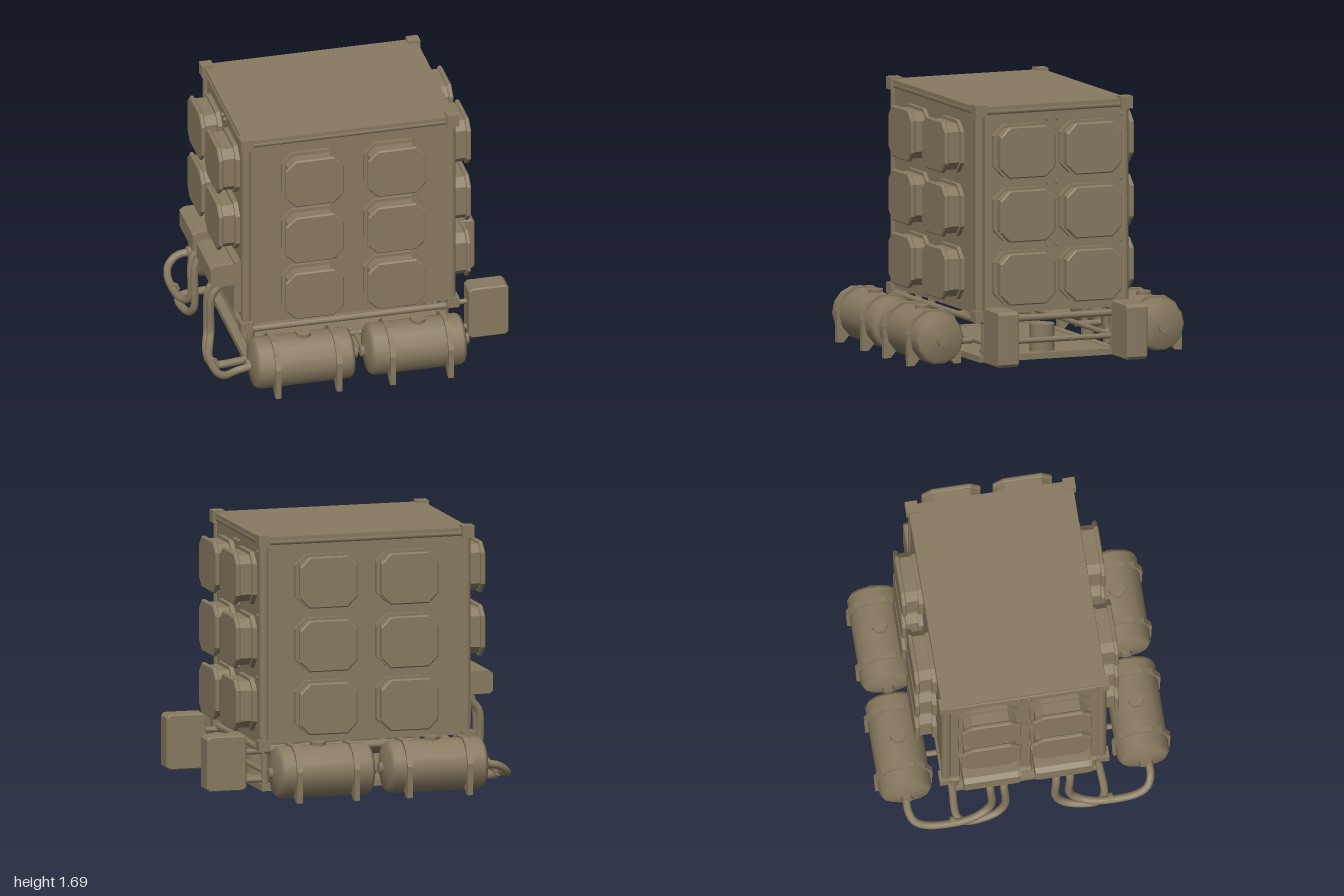
import * as THREE from 'three';

const steel = new THREE.MeshStandardMaterial({ color: 0x887a60 });
steel.name = 'olive steel';

export function createModel() {
  const root = new THREE.Group();
  root.name = 'storageModule';

  const add = (parent, name, geo, x = 0, y = 0, z = 0) => {
    const m = new THREE.Mesh(geo, steel);
    m.name = name;
    m.position.set(x, y, z);
    parent.add(m);
    return m;
  };
  const box = (name, x0, x1, y0, y1, z0, z1, parent = root) =>
    add(parent, name, new THREE.BoxGeometry(x1 - x0, y1 - y0, z1 - z0),
      (x0 + x1) / 2, (y0 + y1) / 2, (z0 + z1) / 2);
  // straight rod between two points
  const rod = (name, a, b, r, sides = 8, parent = root) => {
    const p = new THREE.Vector3(...a), d = new THREE.Vector3(...b).sub(p);
    const m = add(parent, name, new THREE.CylinderGeometry(r, r, d.length(), sides));
    m.position.copy(p).addScaledVector(d, 0.5);
    m.quaternion.setFromUnitVectors(new THREE.Vector3(0, 1, 0), d.normalize());
    return m;
  };
  // slab with chamfered corners, growing along +z
  const slab = (w, h, c, depth, bevel = 0) => {
    const x = w / 2 - bevel, y = h / 2 - bevel;
    const s = new THREE.Shape([[-x + c, -y], [x - c, -y], [x, -y + c], [x, y - c],
      [x - c, y], [-x + c, y], [-x, y - c], [-x, -y + c]].map(p => new THREE.Vector2(...p)));
    return new THREE.ExtrudeGeometry(s, { depth: depth - bevel, bevelEnabled: bevel > 0,
      bevelSize: bevel, bevelThickness: bevel, bevelSegments: 1 });
  };

  // main body and roof
  box('bodyShell', -0.755, 0.635, 0.33, 1.65, -0.54, 0.51);
  box('roof', -0.765, 0.645, 1.655, 1.68, -0.55, 0.52);

  // corner posts, corner caps and edge rails
  const xs = [-0.74, 0.615], zs = [-0.52, 0.49];
  for (const x of xs) for (const z of zs) {
    rod('cornerPost', [x, 0.3, z], [x, 1.66, z], 0.034, 10);
    for (const y of [0.32, 1.655]) {
      add(root, 'cornerCap', new THREE.BoxGeometry(0.08, y > 1 ? 0.08 : 0.07, 0.08),
        x + Math.sign(x) * 0.008, y, z + Math.sign(z) * 0.008);
    }
  }
  for (const y of [0.29, 1.645]) {
    for (const z of zs) rod('edgeRail', [xs[0], y, z + Math.sign(z) * 0.012], [xs[1], y, z + Math.sign(z) * 0.012], 0.022);
    for (const x of xs) rod('edgeRail', [x + Math.sign(x) * 0.012, y, zs[0]], [x + Math.sign(x) * 0.012, y, zs[1]], 0.022);
  }

  // storage hatches on all four walls
  const flange = slab(0.39, 0.34, 0.07, 0.03);
  const neck = slab(0.34, 0.3, 0.05, 0.12);
  const cover = slab(0.385, 0.335, 0.06, 0.022, 0.008);
  const hatch = (x, y, z, turn) => {
    const g = new THREE.Group();
    g.name = 'hatch';
    add(g, 'hatchFlange', flange);
    add(g, 'hatchNeck', neck);
    add(g, 'hatchCover', cover, 0, 0, 0.117);
    g.position.set(x, y, z);
    g.rotation.y = turn;
    root.add(g);
  };
  for (const y of [1.39, 0.975, 0.565]) {
    for (const x of [-0.32, 0.225]) {
      hatch(x, y, 0.505, 0);
      hatch(x, y, -0.545, Math.PI);
    }
    for (const z of [-0.25, 0.215]) {
      hatch(0.637, y, z, Math.PI / 2);
      if (y > 0.7) hatch(-0.76, y, z, -Math.PI / 2);
    }
  }

  // wall bolts
  for (const y of [0.76, 1.165, 1.58]) {
    for (const z of [-0.5, -0.045, 0.02]) rod('wallBolt', [0.63, y, z], [0.66, y, z], 0.014, 6);
    for (const z of [-0.045, 0.02]) rod('wallBolt', [-0.75, y, z], [-0.775, y, z], 0.014, 6);
  }

  // hooded vents on the pipe side
  const hood = new THREE.Shape([[-0.75, 0.57], [-0.93, 0.57], [-0.95, 0.59], [-0.95, 0.7],
    [-0.92, 0.72], [-0.75, 0.72]].map(p => new THREE.Vector2(...p)));
  for (const z of [-0.25, 0.215]) {
    add(root, 'ventHood', new THREE.ExtrudeGeometry(hood, { depth: 0.33, bevelEnabled: true,
      bevelSize: 0.004, bevelThickness: 0.02, bevelSegments: 1 }), 0, 0, z - 0.165);
    box('ventBackPlate', -0.8, -0.755, 0.37, 0.74, z - 0.19, z + 0.19);
  }

  // paired pipes from the vents to the tanks
  const pipe = (pts) => {
    const path = new THREE.CatmullRomCurve3(pts.map(p => new THREE.Vector3(...p)), false, 'centripetal');
    add(root, 'pipe', new THREE.TubeGeometry(path, 40, 0.026, 8));
  };
  for (const s of [-1, 1]) {
    pipe([[-0.83, 0.57, s * 0.26], [-0.86, 0.5, s * 0.26], [-0.91, 0.43, s * 0.26], [-0.92, 0.15, s * 0.26],
      [-0.94, 0.1, s * 0.31], [-0.97, 0.08, s * 0.42], [-0.97, 0.09, s * 0.68],
      [-0.94, 0.12, s * 0.76], [-0.88, 0.16, s * 0.79], [-0.78, 0.18, s * 0.79]]);
    pipe([[-0.83, 0.57, s * 0.17], [-0.86, 0.5, s * 0.17], [-0.91, 0.43, s * 0.17], [-0.92, 0.12, s * 0.17],
      [-0.94, 0.06, s * 0.22], [-0.96, 0.04, s * 0.32], [-0.96, 0.04, s * 0.44],
      [-0.92, 0.045, s * 0.48], [-0.72, 0.06, s * 0.48]]);
    rod('pipeCollar', [-0.965, 0.08, s * 0.5], [-0.965, 0.08, s * 0.53], 0.035);
    for (const z of [0.17, 0.26]) rod('pipeCollar', [-0.855, 0.5, s * z], [-0.84, 0.55, s * z], 0.035);
  }

  // tank pairs with straps that run down into feet
  const tankProfile = (l) => [[0.001, -l / 2], [0.04, -l / 2], [0.15, -l / 2 + 0.02], [0.17, -l / 2 + 0.045],
    [0.17, l / 2 - 0.045], [0.15, l / 2 - 0.02], [0.04, l / 2], [0.001, l / 2]].map(p => new THREE.Vector2(...p));
  const strap = new THREE.Shape([[-0.185, -0.175], [-0.19, 0.03], [-0.14, 0.135], [-0.07, 0.182], [0.07, 0.182],
    [0.14, 0.135], [0.19, 0.03], [0.185, -0.175], [0.14, -0.175], [0.1, -0.13], [-0.1, -0.13], [-0.14, -0.175]]
    .map(p => new THREE.Vector2(...p)));
  const strapGeo = new THREE.ExtrudeGeometry(strap, { depth: 0.035, bevelEnabled: false });
  for (const z of [-0.785, 0.765]) {
    for (const [x0, x1] of [[-0.79, -0.1], [-0.03, 0.64]]) {
      const t = add(root, 'tank', new THREE.LatheGeometry(tankProfile(x1 - x0), 14), (x0 + x1) / 2, 0.185, z);
      t.rotation.z = Math.PI / 2;
      rod('tankNozzle', [x0 - 0.025, 0.18, z], [x1 + 0.025, 0.18, z], 0.038, 6);
      rod('fillerCap', [x0 + 0.36, 0.33, z], [x0 + 0.36, 0.372, z], 0.052, 6);
      for (const x of [x0 + 0.15, x1 - 0.135]) {
        const s = add(root, 'tankStrap', strapGeo, x - 0.017, 0.18, z);
        s.rotation.y = Math.PI / 2;
      }
    }
    // brackets joining tanks to the base
    const s = Math.sign(z);
    for (const x of [-0.5, 0, 0.4]) rod('tankBracket', [x, 0.13, s * 0.45], [x, 0.13, s * 0.66], 0.02);
  }

  // equipment boxes on rods
  for (const z of [-0.455, 0.445]) {
    const b = add(root, 'equipmentBox', slab(0.265, 0.36, 0.015, 0.135, 0.008), 0.865, 0.21, z - 0.064);
    b.rotation.y = 0;
    for (const y of [0.085, 0.27]) rod('boxRod', [0.55, y, z], [0.78, y, z], 0.018);
  }

  // base skid: bottom frame, floor plate, legs and cross rails
  box('floorPlate', -0.68, 0.58, 0.035, 0.05, -0.46, 0.44);
  for (const z of [-0.5, 0.43]) box('skidBeam', -0.74, 0.62, 0.015, 0.055, z, z + 0.06);
  for (const x of [-0.74, 0.56]) box('skidBeam', x, x + 0.06, 0.015, 0.055, -0.44, 0.43);
  for (const x of [-0.7, 0.59]) {
    for (const z of [-0.46, 0.44]) rod('skidLeg', [x, 0.04, z], [x, 0.34, z], 0.026);
    rod('crossRail', [x, 0.135, -0.46], [x, 0.135, 0.44], 0.018);
  }
  for (const z of [-0.46, 0.44]) rod('sideRail', [-0.7, 0.135, z], [0.59, 0.135, z], 0.018);
  rod('pumpHousing', [0.5, 0.05, 0], [0.5, 0.23, 0], 0.08, 12);

  // bolts and drain caps under the floor
  for (const [x, z] of [[-0.15, -0.12], [0.1, -0.15], [-0.02, 0.03], [0.18, 0.05], [-0.2, 0.12]])
    rod('drainCap', [x, 0.003, z], [x, 0.04, z], 0.055, 6);
  for (const x of [-0.55, -0.35, -0.15, 0.05]) rod('floorBolt', [x, 0.012, -0.38], [x, 0.04, -0.38], 0.03, 6);

  return root;
}
